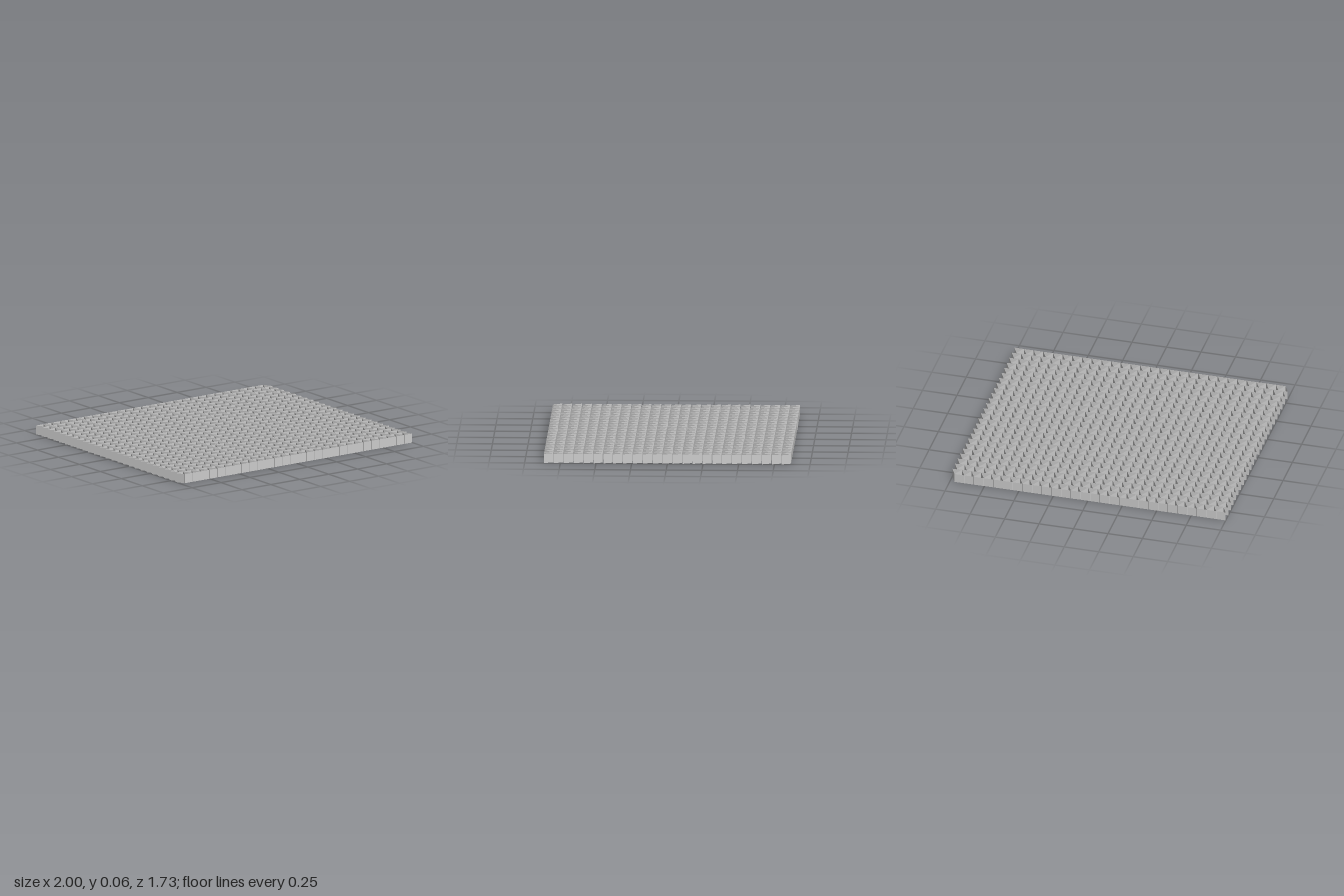
import * as THREE from 'three';
import { mergeGeometries } from 'three/addons/utils/BufferGeometryUtils.js';

const ROWS = 25, PAIRS = 28;
const SIDE = 0.067, DEPTH = 0.0645, HEIGHT = 0.065;
const PITCH_X = (2 - SIDE) / (PAIRS - 0.5);
const PITCH_Z = (1.731 - DEPTH) / (ROWS - 1);

// One open triangular cell, apex towards +z, centred on its own depth
function cellGeometry() {
  const g = new THREE.CylinderGeometry(1, 1, HEIGHT, 3, 1, true).toNonIndexed();
  g.scale(SIDE / Math.sqrt(3), 1, DEPTH / 1.5);
  g.translate(0, HEIGHT / 2, -DEPTH / 6);
  g.computeVertexNormals();
  return g;
}

// A strip of cells that alternately point forwards and backwards
function rowGeometry() {
  const forward = cellGeometry();
  const backward = forward.clone().rotateY(Math.PI);
  const cells = [];
  for (let i = 0; i < PAIRS * 2; i++) {
    const cell = (i % 2 ? backward : forward).clone();
    cells.push(cell.translate(-1 + SIDE / 2 + (i * PITCH_X) / 2, 0, 0));
  }
  return mergeGeometries(cells);
}

export function createModel() {
  const model = new THREE.Group();
  model.name = 'triangularCellPanel';
  const material = new THREE.MeshStandardMaterial({
    color: 0xcccccc, flatShading: true, side: THREE.DoubleSide,
  });
  const geometry = rowGeometry();

  // Identical rows, separated by narrow gaps
  for (let r = 0; r < ROWS; r++) {
    const row = new THREE.Mesh(geometry, material);
    row.name = `cellRow${r + 1}`;
    row.position.z = (r - (ROWS - 1) / 2) * PITCH_Z;
    model.add(row);
  }
  return model;
}
